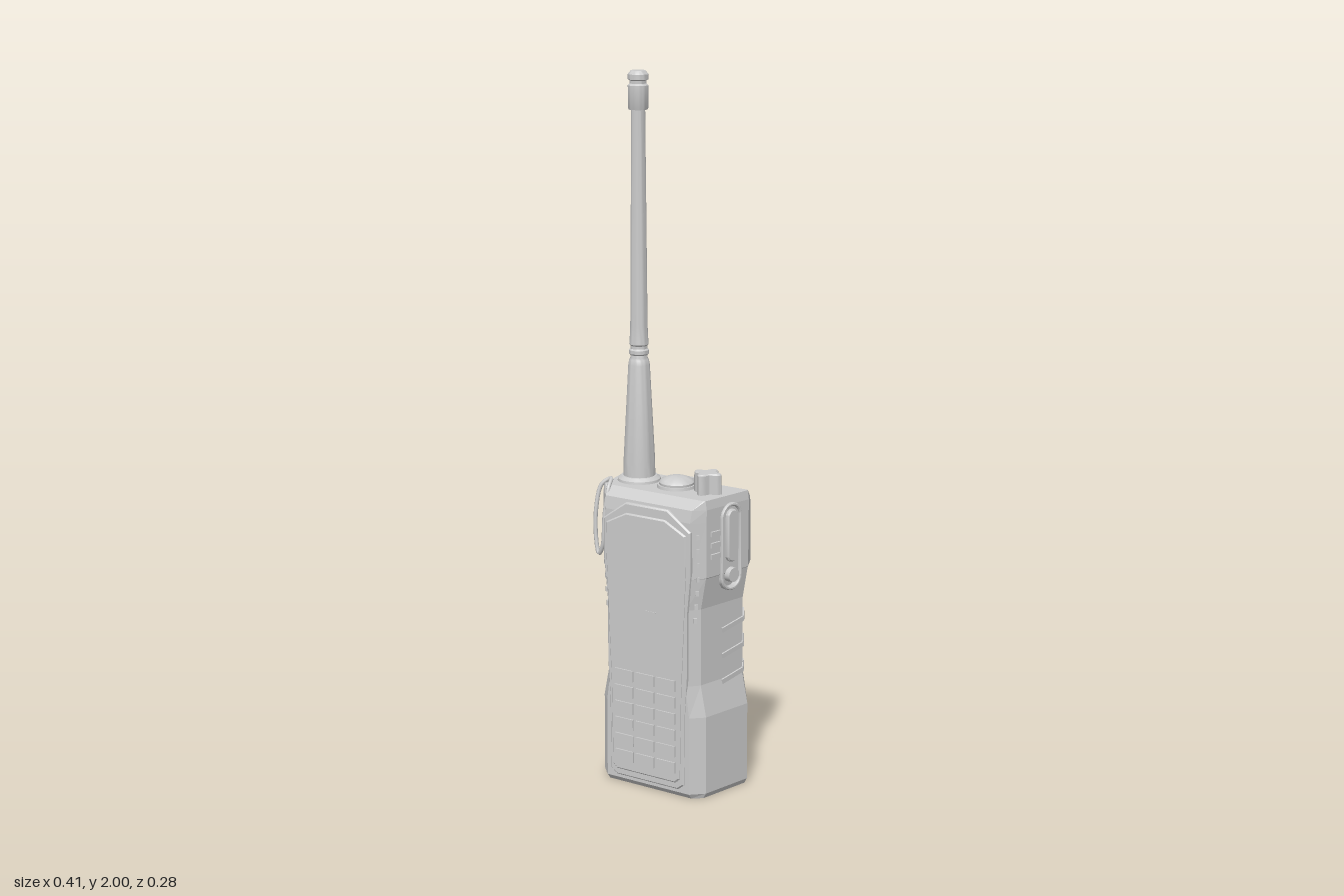
import * as THREE from 'three';
import { toCreasedNormals } from 'three/addons/utils/BufferGeometryUtils.js';

const smooth = new THREE.MeshStandardMaterial({ color: 0xcccccc });
const flat = new THREE.MeshStandardMaterial({ color: 0xcccccc, flatShading: true });

function add(parent, name, geo, x = 0, y = 0, z = 0, mat = smooth) {
  const m = new THREE.Mesh(geo, mat);
  m.name = name;
  m.position.set(x, y, z);
  parent.add(m);
  return m;
}

const box = (w, h, d) => new THREE.BoxGeometry(w, h, d);

// Turned part with crisp steps
const turned = (pts, n = 28) => toCreasedNormals(
  new THREE.LatheGeometry(pts.map(p => new THREE.Vector2(...p)), n), 0.6);

// Extruded plate with a small bevel; total depth is d
function plate(shape, d, b = 0.004) {
  return toCreasedNormals(new THREE.ExtrudeGeometry(shape, {
    depth: d - b, bevelEnabled: b > 0, bevelThickness: b, bevelSize: b,
    bevelOffset: -b, bevelSegments: 1, curveSegments: 10
  }), 0.5);
}

// Upright rounded slot outline, centred on the origin
function slot(w, h, Type = THREE.Shape) {
  const s = new Type(), r = w / 2, k = h / 2 - r;
  s.moveTo(r, -k);
  s.lineTo(r, k);
  s.absarc(0, k, r, 0, Math.PI, false);
  s.lineTo(-r, -k);
  s.absarc(0, -k, r, Math.PI, Math.PI * 2, false);
  return s;
}

// Symmetric outline from the points of its +x half, bottom to top
const mirrored = half => new THREE.Shape(
  [...half, ...half.slice().reverse().map(([x, y]) => [-x, y])]
    .map(p => new THREE.Vector2(...p)));

// Body lofted from eight-sided sections: [y, half width, back z, back half width, front z, front half width]
function bodyGeometry(rows) {
  const pos = [], idx = [], n = 8;
  for (const [y, w, zb, wb, zf, wf] of rows) {
    const half = [[wf, zf], [w - 0.03, Math.min(0.088, zf - 0.002)], [w, -0.075], [wb, zb]];
    const ring = [...half, ...half.slice().reverse().map(([x, z]) => [-x, z])];
    for (const [x, z] of ring) pos.push(x, y, z);
  }
  const last = (rows.length - 1) * n;
  for (let r = 0; r < rows.length - 1; r++) for (let i = 0; i < n; i++) {
    const a = r * n + i, b = r * n + (i + 1) % n;
    idx.push(a, b, b + n, a, b + n, a + n);
  }
  for (let i = 1; i < n - 1; i++) idx.push(0, i + 1, i, last, last + i, last + i + 1);
  const g = new THREE.BufferGeometry();
  g.setAttribute('position', new THREE.Float32BufferAttribute(pos, 3));
  g.setIndex(idx);
  g.computeVertexNormals();
  return g;
}

export function createModel() {
  const radio = new THREE.Group();
  radio.name = 'handheldRadio';

  // Waisted body, chamfered at the bottom and at the upper back
  add(radio, 'body', bodyGeometry([
    [0, 0.196, -0.078, 0.19, 0.11, 0.14],
    [0.015, 0.204, -0.085, 0.195, 0.122, 0.14],
    [0.07, 0.204, -0.12, 0.175, 0.122, 0.14],
    [0.24, 0.204, -0.12, 0.172, 0.122, 0.14],
    [0.33, 0.186, -0.115, 0.16, 0.122, 0.128],
    [0.55, 0.186, -0.115, 0.16, 0.122, 0.128],
    [0.64, 0.202, -0.12, 0.17, 0.122, 0.14],
    [0.642, 0.203, -0.13, 0.175, 0.122, 0.14],
    [0.80, 0.204, -0.132, 0.173, 0.122, 0.142],
    [0.835, 0.204, -0.103, 0.19, 0.116, 0.145],
    [0.86, 0.2, -0.079, 0.198, 0.09, 0.165]
  ]), 0, 0, 0, flat);

  // Front: frame, face panel and keypad
  const front = new THREE.Group();
  front.name = 'frontFace';
  radio.add(front);
  add(front, 'faceFrame', plate(mirrored([
    [0.105, 0.025], [0.125, 0.04], [0.127, 0.25], [0.134, 0.36],
    [0.134, 0.54], [0.146, 0.66], [0.146, 0.775], [0.07, 0.828]]), 0.012), 0, 0, 0.116);
  add(front, 'facePanel', plate(mirrored([
    [0.1, 0.045], [0.114, 0.058], [0.118, 0.3], [0.134, 0.68],
    [0.134, 0.765], [0.065, 0.8]]), 0.012), 0, 0, 0.122);
  add(front, 'panelMark', box(0.035, 0.003, 0.003), 0.02, 0.53, 0.1345);
  for (let r = 0; r < 6; r++) for (let c = -1; c <= 1; c++)
    add(front, 'key', box(0.062, 0.032, 0.008), c * 0.071, 0.09 + r * 0.048, 0.1345);

  // Dots along both front corners
  for (const s of [-1, 1]) for (let i = 0; i < 7; i++) {
    const dot = add(radio, 'cornerDot', box(0.009, 0.014, 0.008),
      s * (0.148 + 0.008 * Math.min(1, i / 3)), 0.52 + i * 0.04, 0.104);
    dot.rotation.y = s * 0.75;
  }

  // Antenna with collar, ribbed middle and grooved tip
  const antenna = new THREE.Group();
  antenna.name = 'antenna';
  antenna.position.set(-0.113, 0, 0);
  radio.add(antenna);
  add(antenna, 'antennaCollar', turned([[0, 0.855], [0.062, 0.855], [0.06, 0.867], [0.05, 0.875], [0, 0.875]]));
  add(antenna, 'antennaRod', turned([
    [0.045, 0.86], [0.044, 0.92], [0.03, 1.19], [0.027, 1.205], [0.024, 1.21], [0.024, 1.218],
    [0.028, 1.222], [0.028, 1.232], [0.024, 1.236], [0.024, 1.244], [0.027, 1.248],
    [0.026, 1.258], [0.024, 1.3], [0.019, 1.9]]));
  add(antenna, 'antennaTip', turned([
    [0, 1.895], [0.026, 1.895], [0.028, 1.9], [0.028, 1.96], [0.023, 1.965], [0.023, 1.973],
    [0.028, 1.976], [0.028, 1.99], [0.02, 2], [0, 2]]));

  // Domed button and cross-shaped knob on the top
  add(radio, 'topButtonRing', turned([[0, 0.855], [0.056, 0.855], [0.054, 0.868], [0, 0.868]]), 0.016, 0, 0.003);
  add(radio, 'topButton', turned([
    [0.048, 0.86], [0.049, 0.874], [0.042, 0.882], [0.028, 0.888], [0.014, 0.891], [0, 0.892]]), 0.016, 0, 0.003);
  const cross = new THREE.Shape();
  for (let i = 0; i <= 48; i++) {
    const a = i / 48 * Math.PI * 2, r = 0.034 + 0.009 * Math.cos(4 * a);
    cross[i ? 'lineTo' : 'moveTo'](r * Math.cos(a), r * Math.sin(a));
  }
  add(radio, 'channelKnob', plate(cross, 0.062), 0.122, 0.856, 0.006).rotation.x = -Math.PI / 2;
  add(radio, 'topLip', box(0.085, 0.016, 0.012), 0, 0.862, -0.072);

  // Left side: oval talk button, ribs and round key, on the sloping face
  const side = new THREE.Group();
  side.name = 'talkControls';
  side.position.set(0.19, 0.715, -0.005);
  side.rotation.y = 1.391;
  radio.add(side);
  const rim = slot(0.082, 0.25);
  rim.holes.push(slot(0.062, 0.23, THREE.Path));
  add(side, 'talkRim', plate(rim, 0.018, 0.003), 0, 0, -0.01);
  add(side, 'talkButton', plate(slot(0.04, 0.15), 0.022), 0, 0.032, -0.01);
  add(side, 'sideKey', new THREE.CylinderGeometry(0.02, 0.022, 0.026, 20), 0, -0.08, 0.002).rotation.x = Math.PI / 2;
  for (let i = 0; i < 3; i++) add(side, 'sideRib', box(0.034, 0.014, 0.014), -0.062, -0.015 + i * 0.032, 0);

  // Slanted grip ribs round the left rear edge
  for (let i = 0; i < 3; i++) {
    const y = 0.33 + i * 0.075;
    const a = add(radio, 'gripRib', box(0.008, 0.014, 0.085), 0.179, y, -0.034);
    a.rotation.set(0.2, -0.18, 0);
    const b = add(radio, 'gripRib', box(0.008, 0.014, 0.05), 0.174, y + 0.014, -0.094);
    b.rotation.set(0.2, 0.57, 0);
  }

  // Right side: long cover with a raised strip
  const cover = new THREE.Group();
  cover.name = 'sideCover';
  cover.position.set(-0.172, 0.46, 0.005);
  cover.rotation.y = -1.391;
  radio.add(cover);
  add(cover, 'coverPlate', plate(slot(0.085, 0.4), 0.02), 0, 0, -0.012);
  add(cover, 'coverStrip', plate(slot(0.035, 0.32), 0.024), 0, 0, -0.012);

  // Wire loop hanging from the right front corner
  const wire = new THREE.CatmullRomCurve3([
    [-0.16, 0.872, 0.07], [-0.182, 0.855, 0.084], [-0.19, 0.79, 0.1], [-0.185, 0.7, 0.108],
    [-0.172, 0.662, 0.113], [-0.155, 0.69, 0.118], [-0.15, 0.78, 0.115], [-0.148, 0.855, 0.098]
  ].map(p => new THREE.Vector3(...p)), true);
  add(radio, 'strapLoop', new THREE.TubeGeometry(wire, 64, 0.006, 8, true));

  // Back: screw, grille bars and contact panel
  const screw = add(radio, 'backScrew', new THREE.SphereGeometry(0.024, 20, 8, 0, Math.PI * 2, 0, Math.PI / 2), 0, 0.73, -0.13);
  screw.rotation.x = -Math.PI / 2;
  screw.scale.y = 0.5;
  for (let i = 0; i < 7; i++)
    add(radio, 'grilleBar', plate(slot(0.011, 0.17), 0.01, 0.002), 0, 0.36 + i * 0.031, -0.121).rotation.z = Math.PI / 2;
  for (const y of [0.115, 0.225]) add(radio, 'contactFrame', box(0.18, 0.005, 0.008), 0, y, -0.12);
  for (const x of [-0.09, 0.09]) add(radio, 'contactFrame', box(0.005, 0.115, 0.008), x, 0.17, -0.12);
  for (let i = 0; i < 4; i++)
    add(radio, 'contact', box(0.024, 0.03, 0.008), -0.06 + i * 0.04, 0.18, -0.12);

  return radio;
}
